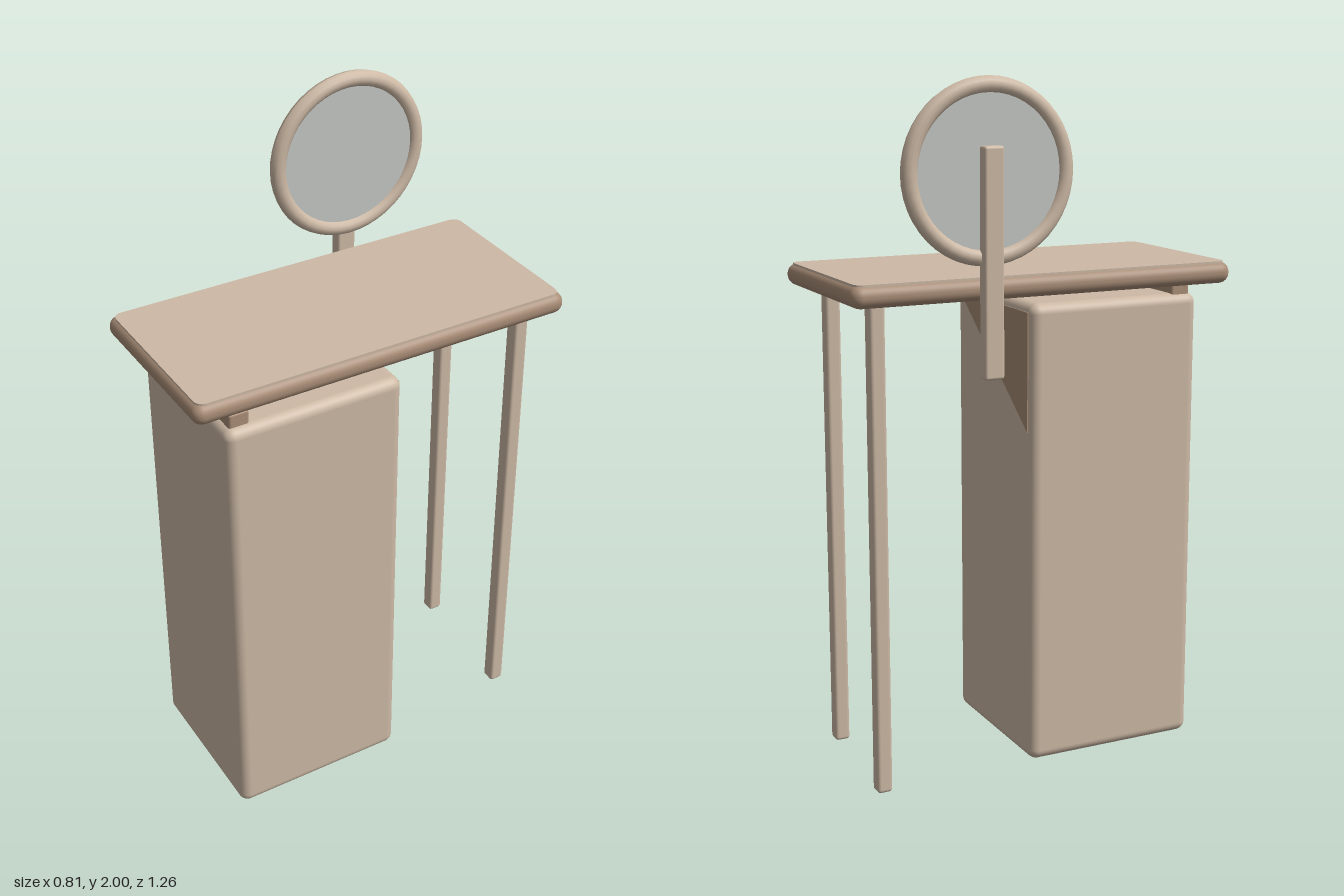
import * as THREE from 'three';
import { RoundedBoxGeometry } from 'three/addons/geometries/RoundedBoxGeometry.js';

function material(name, color) {
  const m = new THREE.MeshStandardMaterial({ color });
  m.name = name;
  return m;
}

export function createModel() {
  const tan = material('tan wood', 0xcdb9a5);
  const brown = material('brown wood', 0xa98d77);
  const glass = material('mirror glass', 0xc4c7c4);

  const model = new THREE.Group();
  model.name = 'dressingTable';
  // The whole table stands turned about the vertical axis
  const table = new THREE.Group();
  table.name = 'table';
  table.rotation.y = -0.245;
  model.add(table);

  function add(name, geometry, mat, x, y, z) {
    const mesh = new THREE.Mesh(geometry, mat);
    mesh.name = name;
    mesh.position.set(x, y, z);
    table.add(mesh);
    return mesh;
  }
  // Rounded box given by its bottom and top heights
  function block(name, mat, w, d, y0, y1, x, z, r) {
    return add(name, new RoundedBoxGeometry(w, y1 - y0, d, 4, r), mat, x, (y0 + y1) / 2, z);
  }

  // Table top: brown slab with a tan surface sheet
  const W = 0.555, L = 1.17;
  block('tableTop', brown, W, L, 1.4, 1.463, 0, 0, 0.03);
  const a = W / 2 - 0.014, b = L / 2 - 0.014, r = 0.03;
  const sheet = new THREE.Shape();
  sheet.moveTo(-a + r, -b);
  sheet.lineTo(a - r, -b);
  sheet.quadraticCurveTo(a, -b, a, -b + r);
  sheet.lineTo(a, b - r);
  sheet.quadraticCurveTo(a, b, a - r, b);
  sheet.lineTo(-a + r, b);
  sheet.quadraticCurveTo(-a, b, -a, b - r);
  sheet.lineTo(-a, -b + r);
  sheet.quadraticCurveTo(-a, -b, -a + r, -b);
  const sheetGeometry = new THREE.ExtrudeGeometry(sheet, { depth: 0.007, bevelEnabled: false });
  sheetGeometry.rotateX(-Math.PI / 2);
  add('tableTopSurface', sheetGeometry, tan, 0, 1.458, 0);

  // Cabinet and the rail that carries the table top
  block('cabinet', tan, 0.51, 0.54, 0.003, 1.37, 0.039, 0.238, 0.03);
  block('supportRail', brown, 0.47, 0.06, 1.355, 1.41, 0.035, 0.458, 0.008);

  // Darker triangle on the back of the cabinet
  const corner = new THREE.Shape([
    new THREE.Vector2(-0.19, 1.0), new THREE.Vector2(0.27, 1.345), new THREE.Vector2(-0.19, 1.345),
  ]);
  add('cabinetBackPanel', new THREE.ExtrudeGeometry(corner, { depth: 0.004, bevelEnabled: false }),
    brown, 0, 0, -0.0345);

  // Two back legs
  for (const [name, x, z] of [['rightLeg', 0.201, -0.475], ['leftLeg', -0.2, -0.496]]) {
    block(name, tan, 0.045, 0.045, 0.003, 1.41, x, z, 0.01);
  }

  // Round mirror on a post behind the table edge
  const mx = -0.298, my = 1.75, mz = -0.205;
  const profile = new THREE.Shape();
  profile.absellipse(0.228, 0, 0.023, 0.022, 0, Math.PI * 2);
  const frame = new THREE.LatheGeometry(profile.getPoints(6), 48);
  frame.rotateZ(Math.PI / 2);
  add('mirrorFrame', frame, tan, mx, my, mz);
  const disc = new THREE.CylinderGeometry(0.218, 0.218, 0.018, 48);
  disc.rotateZ(Math.PI / 2);
  add('mirrorGlass', disc, glass, mx, my, mz);
  block('mirrorPost', tan, 0.04, 0.058, 1.195, 1.82, -0.32, mz, 0.008);

  return model;
}
